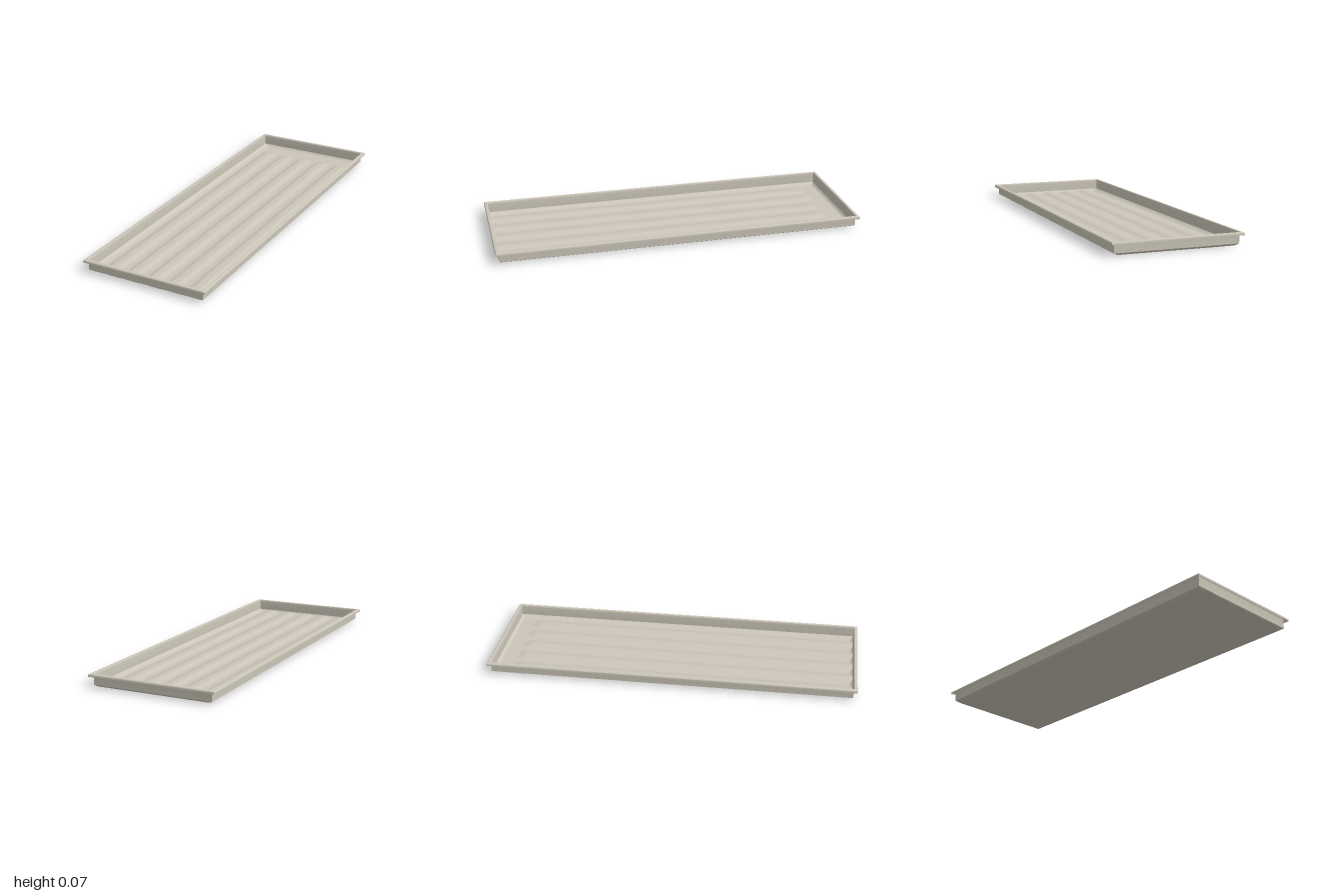
import * as THREE from 'three';
import { toCreasedNormals } from 'three/addons/utils/BufferGeometryUtils.js';

const HALF_X = 0.35, HALF_Z = 1, INSET = 0.02, WALL_FOOT = 0.012;

// Sweeps a profile of [inset, height] points around a mitred rectangle
function rectangularSweep(profile) {
  const positions = [], index = [];
  for (const [inset, y] of profile) {
    const x = HALF_X - inset, z = HALF_Z - inset;
    positions.push(x, y, z, x, y, -z, -x, y, -z, -x, y, z);
  }
  for (let r = 0; r < profile.length - 1; r++) {
    for (let i = 0; i < 4; i++) {
      const a = r * 4 + i, b = r * 4 + (i + 1) % 4;
      index.push(a, b, b + 4, a, b + 4, a + 4);
    }
  }
  const geometry = new THREE.BufferGeometry();
  geometry.setAttribute('position', new THREE.Float32BufferAttribute(positions, 3));
  geometry.setIndex(index);
  return toCreasedNormals(geometry, 0.7);
}

// Height of the floor: soft upturned border plus five long raised ribs
function floorHeight(x, z) {
  const edgeX = Math.min((HALF_X - INSET - Math.abs(x)) / 0.035, 1);
  const edgeZ = Math.min((HALF_Z - INSET - Math.abs(z)) / 0.02, 1);
  const border = WALL_FOOT * Math.pow(1 - Math.min(edgeX, edgeZ), 2);
  const nearest = THREE.MathUtils.clamp(Math.round(x / 0.12), -2, 2) * 0.12;
  const across = 1 - THREE.MathUtils.smoothstep(Math.abs(x - nearest), 0.012, 0.05);
  const along = THREE.MathUtils.smoothstep(z, -0.89, -0.84);
  return Math.max(border, 0.008 * across * along);
}

function ribbedFloor() {
  const halfX = HALF_X - INSET, halfZ = HALF_Z - INSET;
  const geometry = new THREE.PlaneGeometry(2 * halfX, 2, 132, 120);
  geometry.rotateX(-Math.PI / 2);
  const p = geometry.attributes.position;
  for (let i = 0; i < p.count; i++) {
    // Rows crowd towards the ends, where the floor curves
    const z = halfZ * Math.sin(p.getZ(i) * Math.PI / 2);
    p.setXYZ(i, p.getX(i), floorHeight(p.getX(i), z), z);
  }
  geometry.computeVertexNormals();
  return geometry;
}

export function createModel() {
  const tray = new THREE.Group();
  tray.name = 'tray';
  const plastic = new THREE.MeshStandardMaterial({ color: 0xcbc6b8, side: THREE.DoubleSide });
  plastic.name = 'warm grey plastic';

  function add(name, geometry) {
    const mesh = new THREE.Mesh(geometry, plastic);
    mesh.name = name;
    tray.add(mesh);
  }

  // Folded lip with a rounded outer edge, open underneath
  add('rim', rectangularSweep([
    [0, 0.055], [0, 0.064], [0.001, 0.067], [0.003, 0.069], [0.006, 0.07], [0.017, 0.07],
  ]));
  // Thin upright sides
  add('sideWalls', rectangularSweep([[0.017, 0.07], [0.019, 0.067], [INSET, 0.06], [INSET, WALL_FOOT]]));
  add('ribbedFloor', ribbedFloor());
  return tray;
}
